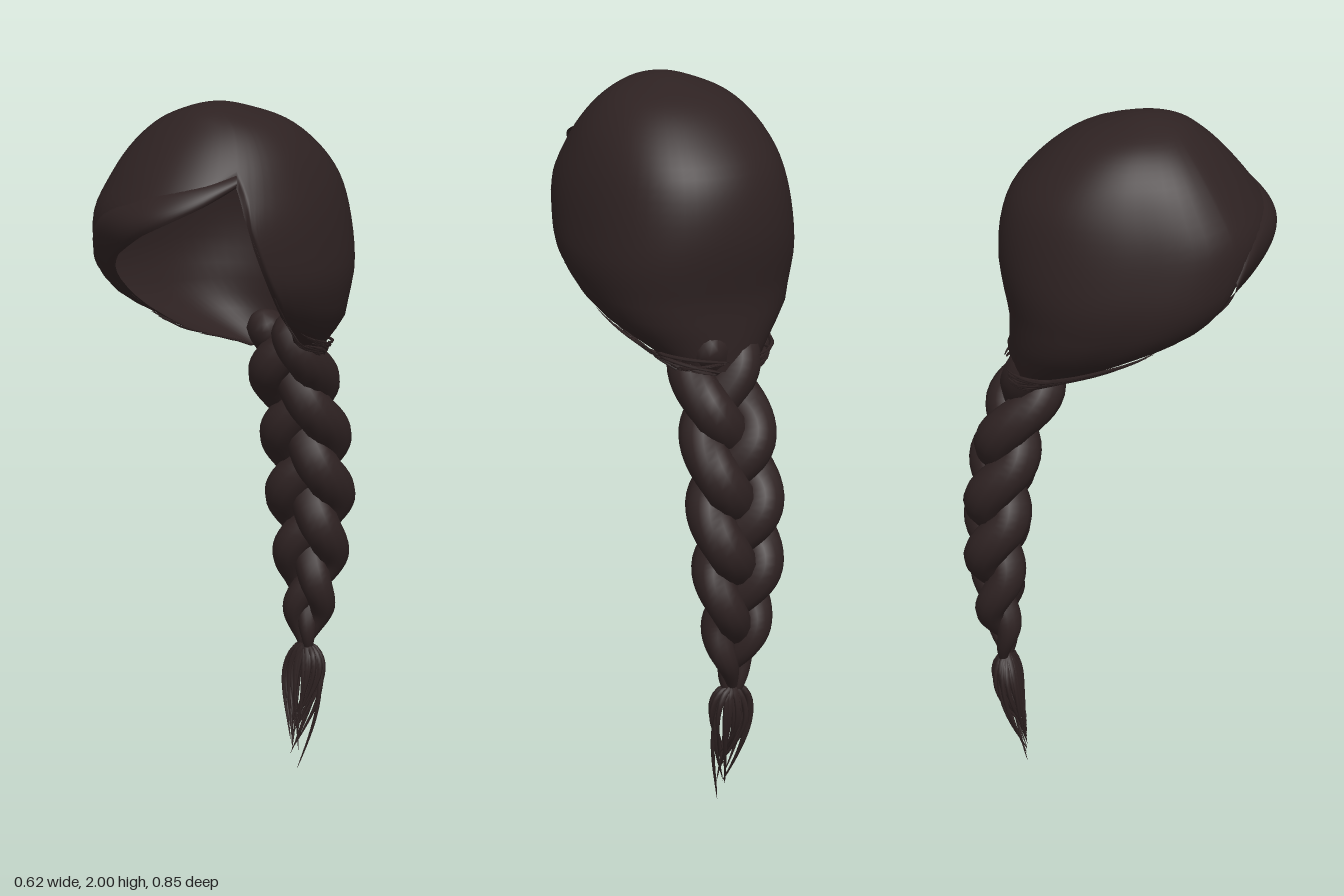
import * as THREE from 'three';
import { mergeVertices, mergeGeometries } from 'three/addons/utils/BufferGeometryUtils.js';

const { lerp, smoothstep } = THREE.MathUtils;
const RAD = Math.PI / 180;

// Smooth lookup of one column in a table whose first column rises
function look(table, x, col) {
  const n = table.length - 1;
  x = Math.min(Math.max(x, table[0][0]), table[n][0]);
  let i = 0;
  while (i < n - 1 && x > table[i + 1][0]) i++;
  const slope = (j) => {
    const a = table[Math.max(j - 1, 0)], b = table[Math.min(j + 1, n)];
    return (b[col] - a[col]) / (b[0] - a[0]);
  };
  const p = table[i], q = table[i + 1], h = q[0] - p[0], t = (x - p[0]) / h;
  const t2 = t * t, t3 = t2 * t;
  return (2 * t3 - 3 * t2 + 1) * p[col] + (t3 - 2 * t2 + t) * h * slope(i)
    + (3 * t2 - 2 * t3) * q[col] + (t3 - t2) * h * slope(i + 1);
}

function linear(table, x) {
  let i = 0;
  while (i < table.length - 2 && x > table[i + 1][0]) i++;
  const [a, b] = [table[i], table[i + 1]];
  return lerp(a[1], b[1], Math.min(Math.max((x - a[0]) / (b[0] - a[0]), 0), 1));
}

// Grid surface from a point rule, welded so that it shades smoothly
function surface(rows, cols, point) {
  const pos = [], idx = [];
  for (let r = 0; r <= rows; r++) for (let c = 0; c <= cols; c++) pos.push(...point(r, c));
  for (let r = 0; r < rows; r++) for (let c = 0; c < cols; c++) {
    const a = r * (cols + 1) + c, b = a + cols + 1;
    idx.push(a, b, a + 1, a + 1, b, b + 1);
  }
  let g = new THREE.BufferGeometry();
  g.setAttribute('position', new THREE.Float32BufferAttribute(pos, 3));
  g.setIndex(idx);
  g = mergeVertices(g, 1e-5);
  g.computeVertexNormals();
  return g;
}

// Tapered lock of hair along a path
function lock(path, radius, steps, sides) {
  const frames = [];
  for (let i = 0; i <= steps; i++) {
    const t = i / steps;
    const tangent = path(t + 0.005).sub(path(t - 0.005)).normalize();
    const ref = Math.abs(tangent.z) > 0.9 ? new THREE.Vector3(1, 0, 0) : new THREE.Vector3(0, 0, 1);
    const n = tangent.clone().cross(ref).normalize();
    frames.push({ p: path(t), n, b: n.clone().cross(tangent), r: radius(t) });
  }
  return surface(steps, sides, (i, j) => {
    const { p, n, b, r } = frames[i], a = ((j % sides) / sides) * Math.PI * 2;
    return p.clone().addScaledVector(n, r * Math.cos(a)).addScaledVector(b, r * Math.sin(a)).toArray();
  });
}

// Head sections: height, half width, back z, front z
const sections = [
  [2.0, 0, 0.09, 0.09], [1.985, 0.08, 0, 0.18], [1.95, 0.16, -0.1, 0.235],
  [1.88, 0.228, -0.198, 0.31], [1.8, 0.268, -0.268, 0.375], [1.72, 0.292, -0.297, 0.42],
  [1.62, 0.306, -0.305, 0.405], [1.54, 0.308, -0.295, 0.36], [1.46, 0.285, -0.28, 0.27],
  [1.4, 0.255, -0.28, 0.17], [1.34, 0.198, -0.286, 0.06], [1.3, 0.155, -0.291, -0.06],
  [1.27, 0.12, -0.288, -0.13], [1.24, 0.1, -0.288, -0.15],
].map(([y, ...rest]) => [Math.sqrt(2 - y), ...rest]);

// Hairline: angle from the front towards the left, height of the edge
const hairline = [
  [-180, 1.27], [-100, 1.275], [-80, 1.3], [-62, 1.33], [-51, 1.36], [-48, 1.4], [-46, 1.47],
  [-43, 1.53], [-35, 1.58], [-24, 1.625], [-14, 1.655], [0, 1.7], [14, 1.735], [30, 1.775],
  [46, 1.82], [50, 1.77], [53, 1.72], [56, 1.6], [58, 1.5], [59.5, 1.42], [61, 1.36],
  [67, 1.325], [80, 1.3], [100, 1.275], [180, 1.27],
];

// Point on the head, fuller at the back corners and under the swept fringe
function headPoint(angle, y, off = 0) {
  const u = Math.sqrt(Math.max(2 - y, 0));
  const w = look(sections, u, 1), zb = look(sections, u, 2), zf = look(sections, u, 3);
  const s = Math.sin(angle * RAD), c = Math.cos(angle * RAD);
  const back = s < 0 ? 0.01 : 0.018, front = s < 0 ? 0.05 * s * s : 0;
  const fade = smoothstep(y - linear(hairline, angle), 0, 0.14) * (w / 0.3) ** 2;
  off += (c < 0 ? back : front) * Math.sin(2 * angle * RAD) ** 2 * fade;
  return [(w + off) * s, y, (zf + zb) / 2 + ((zf - zb) / 2 + off) * c];
}

// Column angles, closer together where the hairline is steep
const angles = [-180];
for (let i = 1; i < hairline.length; i++) {
  const a = hairline[i - 1][0], b = hairline[i][0], n = Math.max(2, Math.ceil((b - a) / 6));
  for (let k = 1; k <= n; k++) angles.push(lerp(a, b, k / n));
}

export function createModel() {
  const model = new THREE.Group();
  const hair = new THREE.MeshStandardMaterial({ color: 0x2e2222, side: THREE.DoubleSide });
  hair.name = 'dark brown hair';
  let seed = 7;
  const rand = (a, b) => {
    seed = (seed * 16807) % 2147483647;
    return lerp(a, b, seed / 2147483647);
  };
  const add = (name, geometry, parent = model) => {
    const mesh = new THREE.Mesh(geometry, hair);
    mesh.name = name;
    parent.add(mesh);
  };

  // Cap of hair, open at the face, its rim rolled slightly inwards
  const rows = 30;
  add('hairCap', surface(rows, angles.length - 1, (r, c) => {
    const a = angles[c], t = r / rows, u = t * Math.sqrt(2 - linear(hairline, a));
    return headPoint(a, 2 - u * u, -0.012 * smoothstep(t, 0.9, 1));
  }));

  // Swept fringe lying over the cap
  add('fringe', surface(10, 36, (r, c) => {
    const a = lerp(-46, 46, c / 36), t = r / 10, edge = linear(hairline, a);
    const depth = lerp(0.17, 0.03, c / 36);
    return headPoint(a, edge + depth * (1 - t) - 0.006, 0.014 * Math.sin(Math.PI * t) ** 0.6 - 0.004);
  }));

  // Fine strands running along both lower rims to the nape
  const wisps = [];
  for (const side of [-1, 1]) for (let i = 0; i < 14; i++) {
    const a0 = rand(44, 66) + (side > 0 ? 10 : 0), a1 = rand(120, 178);
    const h0 = rand(-0.012, 0.07), h1 = rand(-0.02, 0.04), off = rand(0.001, 0.008);
    wisps.push(lock((t) => {
      const a = side * lerp(a0, a1, t);
      return new THREE.Vector3(...headPoint(a, linear(hairline, a) + lerp(h0, h1, t), off));
    }, (t) => 0.005 * Math.sqrt(Math.max(0, Math.sin(Math.PI * t))), 24, 4));
  }
  add('rimStrands', mergeGeometries(wisps));

  // Three strand braid: height, centre z, fullness
  const top = 1.38, bottom = 0.35;
  const spine = [
    [bottom, -0.31, 0.16], [0.42, -0.312, 0.4], [0.5, -0.322, 0.64], [0.65, -0.33, 0.86],
    [0.8, -0.328, 1], [1.0, -0.303, 1.02], [1.15, -0.262, 1], [1.25, -0.215, 0.98], [top, -0.2, 0.92],
  ];
  const braid = new THREE.Group();
  braid.name = 'braid';
  model.add(braid);
  for (let k = 0; k < 3; k++) {
    const path = (t) => {
      const y = lerp(top, bottom, t), s = look(spine, y, 2);
      const p = ((1.24 - y) / 0.55 + 0.25 + k / 3) * Math.PI * 2;
      return new THREE.Vector3(0.02 + 0.073 * s * Math.sin(p), y, look(spine, y, 1) + 0.036 * s * Math.sin(2 * p));
    };
    const radius = (t) => 0.06 * look(spine, lerp(top, bottom, t), 2) * Math.sqrt(Math.min(1, t / 0.04));
    add('braidStrand', lock(path, radius, 80, 12), braid);
  }

  // Loose tuft below the braid, swelling and then gathering to a point
  const tuft = [];
  for (let i = 0; i < 26; i++) {
    const a = i * 2.4, spread = rand(0.7, 1), end = i === 0 ? 0 : rand(0.03, 0.16);
    const bulge = rand(0.55, 0.75), tx = rand(-0.015, 0.015);
    tuft.push(lock((t) => {
      const f = Math.sin(Math.PI * Math.min(1, Math.max(0, t)) ** bulge) * spread;
      return new THREE.Vector3(
        0.02 + 0.068 * f * Math.cos(a) + tx * t, lerp(0.375, end, t),
        lerp(-0.31, -0.255, t * t) + 0.042 * f * Math.sin(a));
    }, (t) => 0.009 * (1 - t) ** 0.7 + 0.0005, 16, 5));
  }
  add('tuft', mergeGeometries(tuft));

  return model;
}
